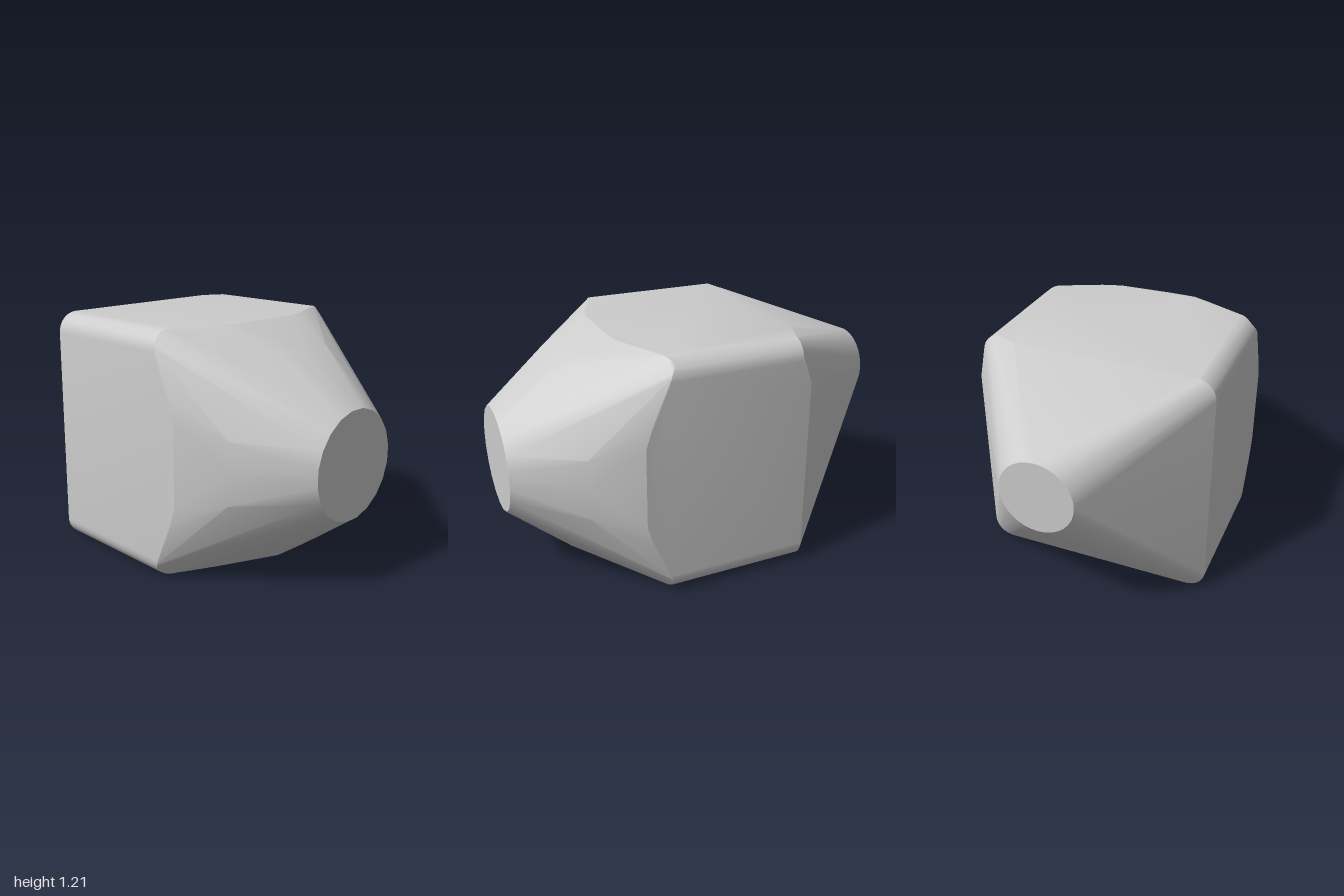
import * as THREE from 'three';
import { ConvexGeometry } from 'three/addons/geometries/ConvexGeometry.js';
import { toCreasedNormals } from 'three/addons/utils/BufferGeometryUtils.js';

const H = 0.603;       // half width of the square body, also its centre height
const CORNER = 0.1;    // rounding of the long edges

// Circle of points facing along z
function ring(radius, cy, z, count, offset = 0) {
  return Array.from({ length: count }, (_, i) => {
    const a = ((i + offset) / count) * Math.PI * 2;
    return new THREE.Vector3(radius * Math.cos(a), cy + radius * Math.sin(a), z);
  });
}

export function createModel() {
  const group = new THREE.Group();
  const grey = new THREE.MeshStandardMaterial({ color: 0xcccccc });
  grey.name = 'grey';

  // Round flat ends: wide in front, small and raised at the back
  const points = [
    ...ring(0.266, H, 1, 20, 0.5),
    ...ring(0.18, 0.823, -1, 32),
  ];

  // Shoulder steps in the middle of each of the four sides: [across, outward, z]
  const shoulder = [[0, 0.5, 0.69], [0.15, 0.498, 0.69], [0.2, H, 0.45], [0.3, H, 0.42], [0.5, H, 0.325]];
  for (let side = 0; side < 4; side++) {
    const c = Math.round(Math.cos(side * Math.PI / 2));
    const s = Math.round(Math.sin(side * Math.PI / 2));
    for (const [t, out, z] of shoulder) {
      for (const k of t ? [-t, t] : [0]) {
        points.push(new THREE.Vector3(out * c - k * s, H + out * s + k * c, z));
      }
    }
  }

  // Rounded long edges; the upper left rear corner is cut slightly
  for (const sx of [-1, 1]) {
    for (const sy of [-1, 1]) {
      const cut = sx > 0 && sy > 0;
      for (let i = 0; i <= 8; i++) {
        const a = (i / 8) * Math.PI / 2;
        const x = sx * (H - CORNER + CORNER * Math.cos(a));
        const y = H + sy * (H - CORNER + CORNER * Math.sin(a));
        const z = 0.29 + 0.035 * Math.abs(Math.cos(2 * a));
        points.push(new THREE.Vector3(x, y, z), new THREE.Vector3(x, y, cut ? -0.35 : -0.4));
      }
    }
  }
  points.push(new THREE.Vector3(0.4, 2 * H, -0.4), new THREE.Vector3(H, 0.99, -0.4));

  const body = new THREE.Mesh(toCreasedNormals(new ConvexGeometry(points), 0.4), grey);
  body.name = 'taperedBody';
  group.add(body);
  return group;
}
